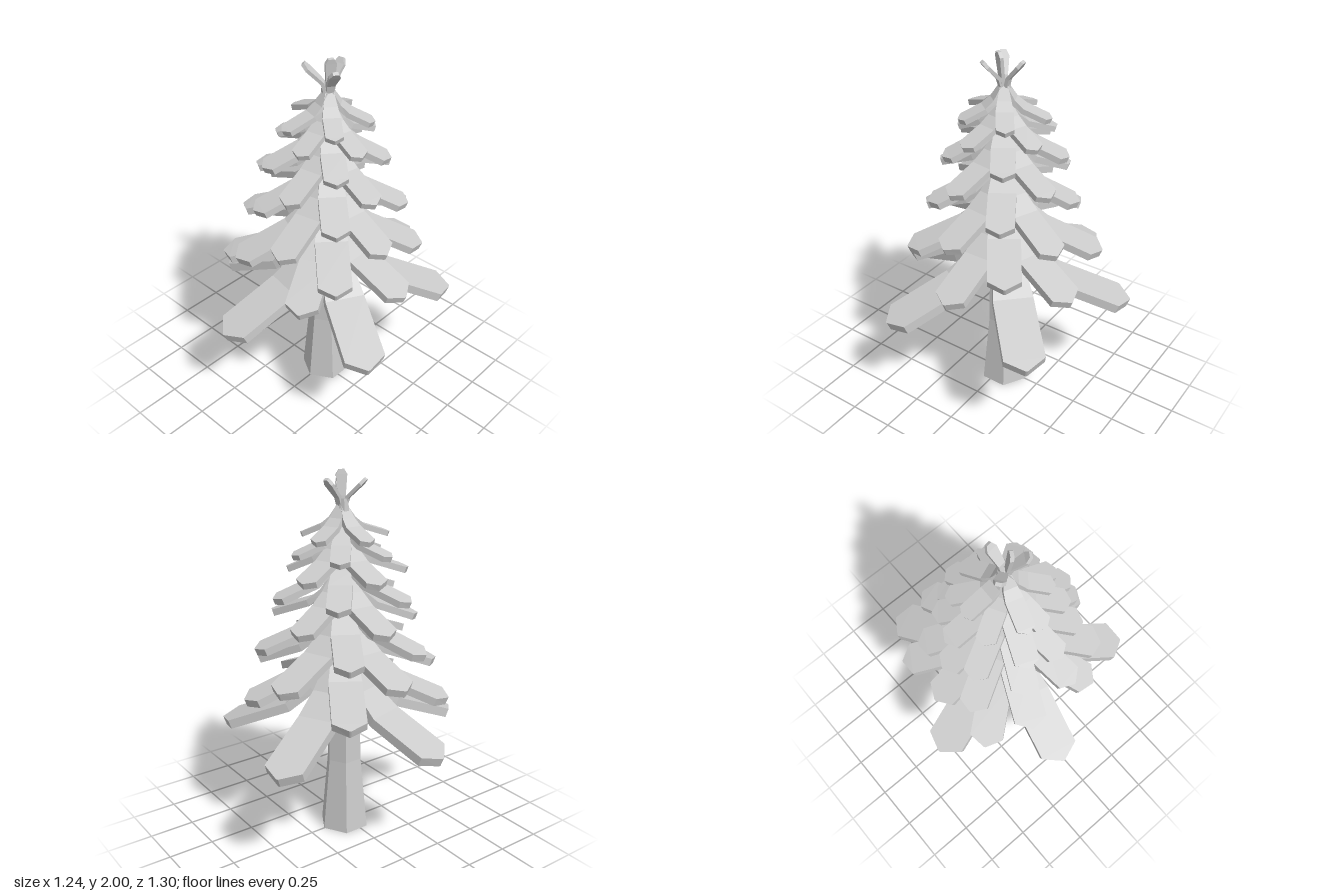
import * as THREE from 'three';

const material = new THREE.MeshStandardMaterial({ color: 0xcccccc, flatShading: true, side: THREE.DoubleSide });
const AXIS = { x: 0.015, z: -0.025 };

// Flat plank following a profile of [radius, height, halfWidth]; thickness hangs below the profile.
function plankGeometry(profile, thickness) {
  const rings = profile.map(([r, y, w], i) => {
    const a = profile[Math.max(i - 1, 0)];
    const b = profile[Math.min(i + 1, profile.length - 1)];
    const dr = b[0] - a[0], dy = b[1] - a[1], len = Math.hypot(dr, dy);
    const br = r + (dy / len) * thickness, by = y - (dr / len) * thickness;
    return [[r, y, -w], [r, y, w], [br, by, w], [br, by, -w]];
  });
  const pos = [];
  const quad = (a, b, c, d) => pos.push(...a, ...b, ...c, ...a, ...c, ...d);
  for (let i = 0; i < rings.length - 1; i++) {
    const p = rings[i], q = rings[i + 1];
    for (let k = 0; k < 4; k++) {
      const n = (k + 1) % 4;
      quad(p[k], p[n], q[n], q[k]);
    }
  }
  const first = rings[0], last = rings[rings.length - 1];
  quad(first[3], first[2], first[1], first[0]);
  quad(...last);
  const geo = new THREE.BufferGeometry();
  geo.setAttribute('position', new THREE.Float32BufferAttribute(pos, 3));
  geo.computeVertexNormals();
  return geo;
}

// Plank growing from the tree axis to a tip at (x, z); makeProfile turns its reach into a profile.
function addPlank(parent, name, [x, z], makeProfile, thickness) {
  const dx = x - AXIS.x, dz = z - AXIS.z;
  const mesh = new THREE.Mesh(plankGeometry(makeProfile(Math.hypot(dx, dz)), thickness), material);
  mesh.name = name;
  mesh.position.set(AXIS.x, 0, AXIS.z);
  mesh.rotation.y = -Math.atan2(dz, dx);
  parent.add(mesh);
}

export function createModel() {
  const tree = new THREE.Group();
  tree.name = 'pineTree';

  // Six-sided trunk, open at the bottom
  const trunkProfile = [[0.141, 0], [0.1, 0.42], [0.093, 0.8], [0.06, 1.4], [0.025, 1.86]]
    .map(([r, y]) => new THREE.Vector2(r, y));
  const trunk = new THREE.Mesh(new THREE.LatheGeometry(trunkProfile, 6), material);
  trunk.name = 'trunk';
  trunk.position.z = -0.025;
  tree.add(trunk);

  // Branch tiers: tip height, typical reach, half width, and the five tips as [x, z]
  const tiers = [
    [0.605, 0.69, 0.108, [[0.615, 0.32], [-0.12, 0.645], [-0.622, 0.15], [-0.31, -0.65], [0.51, -0.505]]],
    [0.835, 0.545, 0.088, [[0.555, -0.03], [0.25, 0.45], [-0.44, 0.34], [-0.475, -0.33], [0.17, -0.55]]],
    [0.97, 0.51, 0.086, [[0.395, 0.33], [-0.2, 0.455], [-0.495, 0], [-0.155, -0.535], [0.43, -0.315]]],
    [1.095, 0.465, 0.075, [[0.465, 0.03], [0.1, 0.435], [-0.41, 0.2], [-0.385, -0.265], [0.19, -0.465]]],
    [1.235, 0.41, 0.071, [[0.315, 0.24], [-0.16, 0.35], [-0.395, -0.03], [-0.125, -0.4], [0.37, -0.245]]],
    [1.365, 0.37, 0.062, [[0.39, 0.04], [0.07, 0.345], [-0.34, 0.15], [-0.27, -0.255], [0.13, -0.38]]],
    [1.485, 0.34, 0.061, [[0.26, 0.18], [-0.12, 0.31], [-0.34, -0.05], [-0.095, -0.345], [0.28, -0.2]]],
    [1.582, 0.27, 0.05, [[0.285, 0.03], [0.05, 0.235], [-0.23, 0.11], [-0.21, -0.2], [0.1, -0.28]]],
    [1.675, 0.245, 0.044, [[0.195, 0.125], [-0.06, 0.225], [-0.235, -0.035], [-0.075, -0.25], [0.2, -0.16]]],
  ];
  tiers.forEach(([y, R, w, tips], i) => {
    const tier = new THREE.Group();
    tier.name = `branchTier${i + 1}`;
    const profile = (reach) => [
      [0.08 * R, y + 0.63 * R, 0.45 * w],
      [0.25 * R, y + 0.37 * R, 0.8 * w],
      [0.43 * R, y + 0.22 * R, w],
      [reach - 0.09 * R, y + 0.035 * R, w],
      [reach, y, 0.05 * w],
    ];
    for (const tip of tips) addPlank(tier, 'branch', tip, profile, 0.014 + 0.055 * R);
    tree.add(tier);
  });

  // Upturned sprigs at the very top: tip [x, z] and tip height
  const crown = new THREE.Group();
  crown.name = 'crownSprigs';
  const sprigs = [[[-0.08, 0.045], 1.965], [[0.105, 0.03], 1.965], [[0.005, -0.12], 1.965], [[0.032, -0.015], 2]];
  for (const [tip, y] of sprigs) {
    const profile = (reach) => [
      [0, 1.8, 0.016],
      [0.2 * reach, 1.87, 0.02],
      [0.82 * reach, y - 0.025, 0.029],
      [reach, y, 0.014],
    ];
    addPlank(crown, 'sprig', tip, profile, 0.018);
  }
  tree.add(crown);
  return tree;
}
